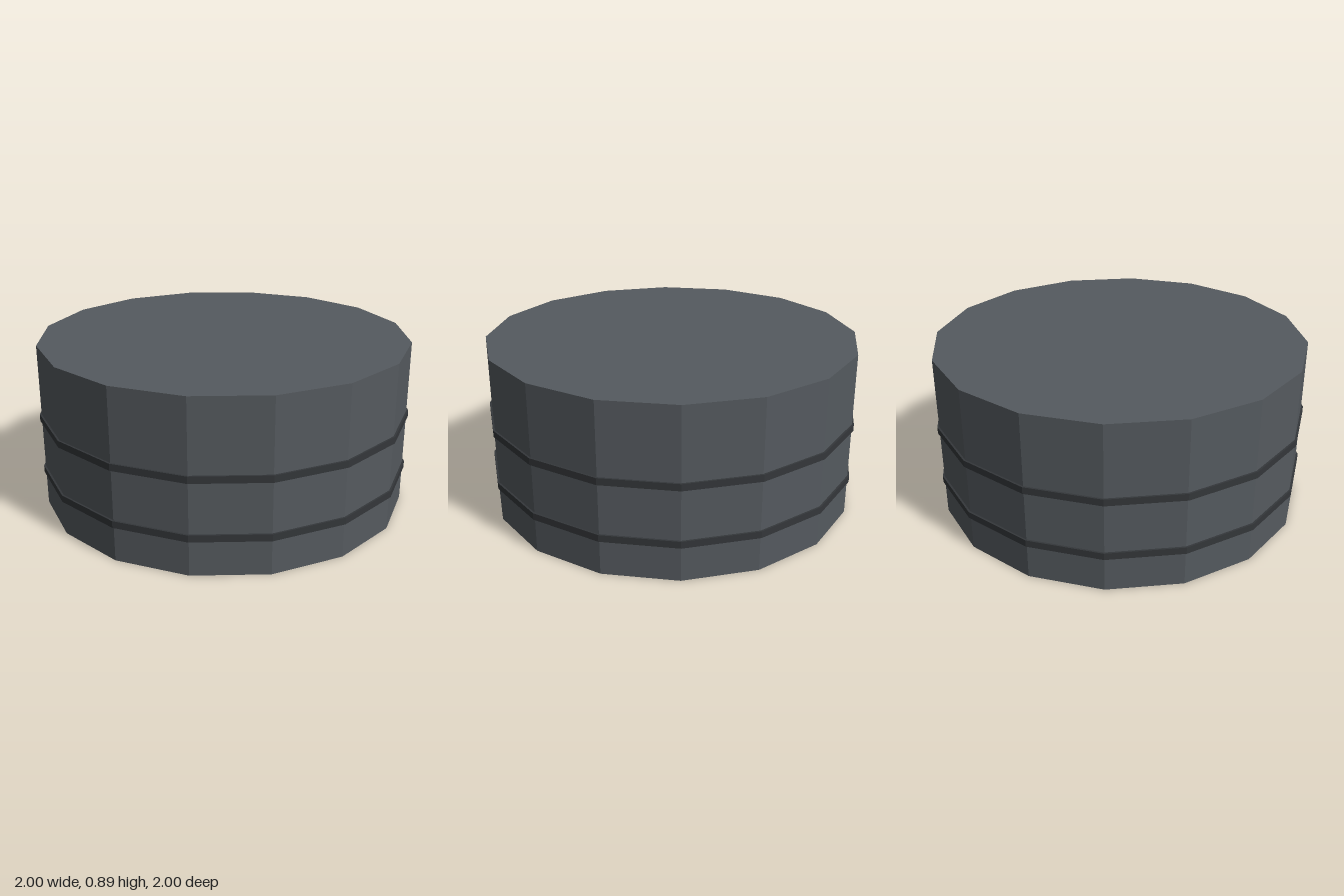
import * as THREE from 'three';

const SIDES = 16;

// Faceted disc standing on y = bottom, with corners on the x and z axes
function disc(name, radius, height, bottom, color) {
  const geometry = new THREE.CylinderGeometry(radius, radius, height, SIDES);
  const material = new THREE.MeshStandardMaterial({ color, flatShading: true });
  const mesh = new THREE.Mesh(geometry, material);
  mesh.name = name;
  mesh.position.y = bottom + height / 2;
  return mesh;
}

export function createModel() {
  const model = new THREE.Group();
  model.name = 'bandedDrum';

  // Main drum
  model.add(disc('drumBody', 0.99, 0.893, 0, 0x555a5f));

  // Two thin bands standing slightly proud of the drum
  [['lowerBand', 0.2], ['upperBand', 0.498]].forEach(([name, y]) => {
    model.add(disc(name, 1, 0.036, y - 0.018, 0x34373a));
  });

  return model;
}
